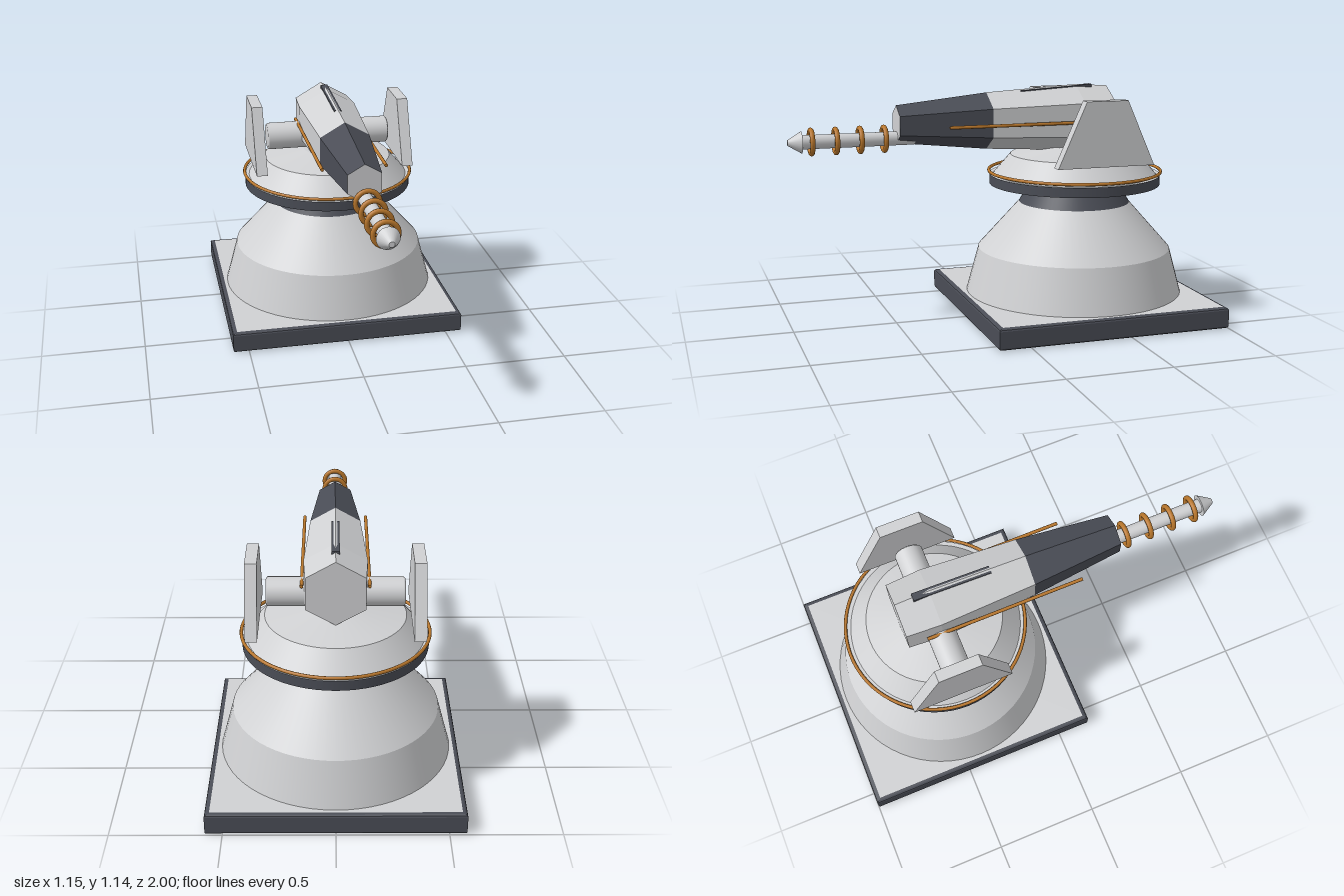
import * as THREE from 'three';

const light = new THREE.MeshStandardMaterial({ color: 0xd0d1d3 });
light.name = 'pale grey';
const dark = new THREE.MeshStandardMaterial({ color: 0x4a4d56 });
dark.name = 'dark slate';
const copper = new THREE.MeshStandardMaterial({ color: 0xb9772c });
copper.name = 'copper';
const flatLight = light.clone();
flatLight.flatShading = true;
flatLight.name = 'pale grey faceted';
const flatDark = dark.clone();
flatDark.flatShading = true;
flatDark.name = 'dark slate faceted';

const AXIS_Z = -0.42; // turret axis
const GUN_Y = 0.975;  // housing centre height
const ROD_Y = 0.908;  // barrel and trunnion height

export function createModel() {
  const model = new THREE.Group();
  model.name = 'turret';

  const add = (parent, name, geometry, material, x = 0, y = 0, z = 0) => {
    const mesh = new THREE.Mesh(geometry, material);
    mesh.name = name;
    mesh.position.set(x, y, z);
    parent.add(mesh);
    return mesh;
  };
  // One straight lathe band per pair of points keeps the rims crisp
  const bands = (parent, name, points, materials) => {
    for (let i = 0; i < points.length - 1; i++) {
      const pair = [points[i], points[i + 1]].map(([r, y]) => new THREE.Vector2(r, y));
      add(parent, name + (i + 1), new THREE.LatheGeometry(pair, 64), materials[i]);
    }
  };

  // Bevelled square base with pale top and bottom faces
  const h = 0.555;
  const square = new THREE.Shape([[-h, -h], [h, -h], [h, h], [-h, h]].map(([x, y]) => new THREE.Vector2(x, y)));
  const slab = new THREE.ExtrudeGeometry(square, {
    depth: 0.079, bevelThickness: 0.013, bevelSize: 0.022, bevelSegments: 3,
  });
  slab.rotateX(-Math.PI / 2);
  add(model, 'base', slab, [light, dark], 0, 0.013, AXIS_Z);

  // Bell pedestal with a dark neck
  const pedestal = new THREE.Group();
  pedestal.name = 'pedestal';
  pedestal.position.z = AXIS_Z;
  model.add(pedestal);
  bands(pedestal, 'bell',
    [[0.54, 0.103], [0.48, 0.325], [0.275, 0.555], [0.23, 0.632], [0, 0.632]],
    [light, light, dark, dark]);

  // Rotating disc, dome and copper rim
  const head = new THREE.Group();
  head.name = 'turntable';
  head.position.z = AXIS_Z;
  model.add(head);
  add(head, 'disc', new THREE.CylinderGeometry(0.424, 0.424, 0.048, 64), [dark, light, light], 0, 0.672, 0);
  bands(head, 'dome', [[0.405, 0.695], [0.32, 0.795], [0.12, 0.83], [0, 0.83]], [light, light, light]);
  const rim = new THREE.TorusGeometry(0.427, 0.008, 8, 72);
  rim.rotateX(Math.PI / 2);
  add(head, 'rimRing', rim, copper, 0, 0.712, 0);

  // Trunnion across the head, with chamfered ends
  const trunnion = new THREE.LatheGeometry(
    [[0, -0.31], [0.059, -0.31], [0.067, -0.302], [0.067, 0.302], [0.059, 0.31], [0, 0.31]]
      .map(([r, y]) => new THREE.Vector2(r, y)), 32);
  trunnion.rotateZ(Math.PI / 2);
  add(model, 'trunnion', trunnion, light, 0, ROD_Y, AXIS_Z - 0.005);

  // Trapezoid side plates and copper rails, mirrored
  const outline = new THREE.Shape([[-0.242, 0.785], [0.242, 0.785], [0.103, 1.095], [-0.103, 1.095]]
    .map(([x, y]) => new THREE.Vector2(x, y)));
  const plate = new THREE.ExtrudeGeometry(outline, { depth: 0.054, bevelEnabled: false });
  plate.translate(0, 0, -0.027);
  plate.rotateY(Math.PI / 2);
  const rail = new THREE.CylinderGeometry(0.008, 0.008, 0.76, 10);
  rail.rotateX(Math.PI / 2);
  for (const [side, s] of [['left', 1], ['right', -1]]) {
    add(model, side + 'Plate', plate, light, s * 0.368, 0, AXIS_Z - 0.007);
    add(model, side + 'Rail', rail, copper, s * 0.15, 0.967, -0.117);
  }

  // Hexagonal gun housing, each section tapering along z
  const section = (name, z0, r0, z1, r1, material, open) => {
    const g = new THREE.CylinderGeometry(r1, r0, z1 - z0, 6, 1, open);
    g.rotateX(Math.PI / 2);
    add(model, name, g, material, 0, GUN_Y, (z0 + z1) / 2);
  };
  section('housingRear', -0.585, 0.153, -0.42, 0.164, flatLight, false);
  section('housing', -0.42, 0.164, 0.04, 0.137, flatLight, true);
  section('muzzleShroud', 0.04, 0.137, 0.485, 0.09, [flatDark, flatLight, flatLight], false);

  // Dark sight rail sunk into the top ridge
  const sight = add(model, 'sightRail', new THREE.BoxGeometry(0.036, 0.03, 0.37), dark, 0, 1.113, -0.315);
  sight.rotation.x = 0.058;

  // Barrel rod, copper coils and blunt conical tip
  const rod = new THREE.CylinderGeometry(0.033, 0.033, 0.54, 24);
  rod.rotateX(Math.PI / 2);
  add(model, 'barrel', rod, light, 0, ROD_Y, 0.67);
  for (let i = 0; i < 4; i++) {
    add(model, 'coil' + (i + 1), new THREE.TorusGeometry(0.055, 0.012, 10, 32), copper, 0, ROD_Y, 0.545 + i * 0.115);
  }
  const tip = new THREE.CylinderGeometry(0.013, 0.052, 0.065, 24);
  tip.rotateX(Math.PI / 2);
  add(model, 'barrelTip', tip, light, 0, ROD_Y, 0.967);

  return model;
}
